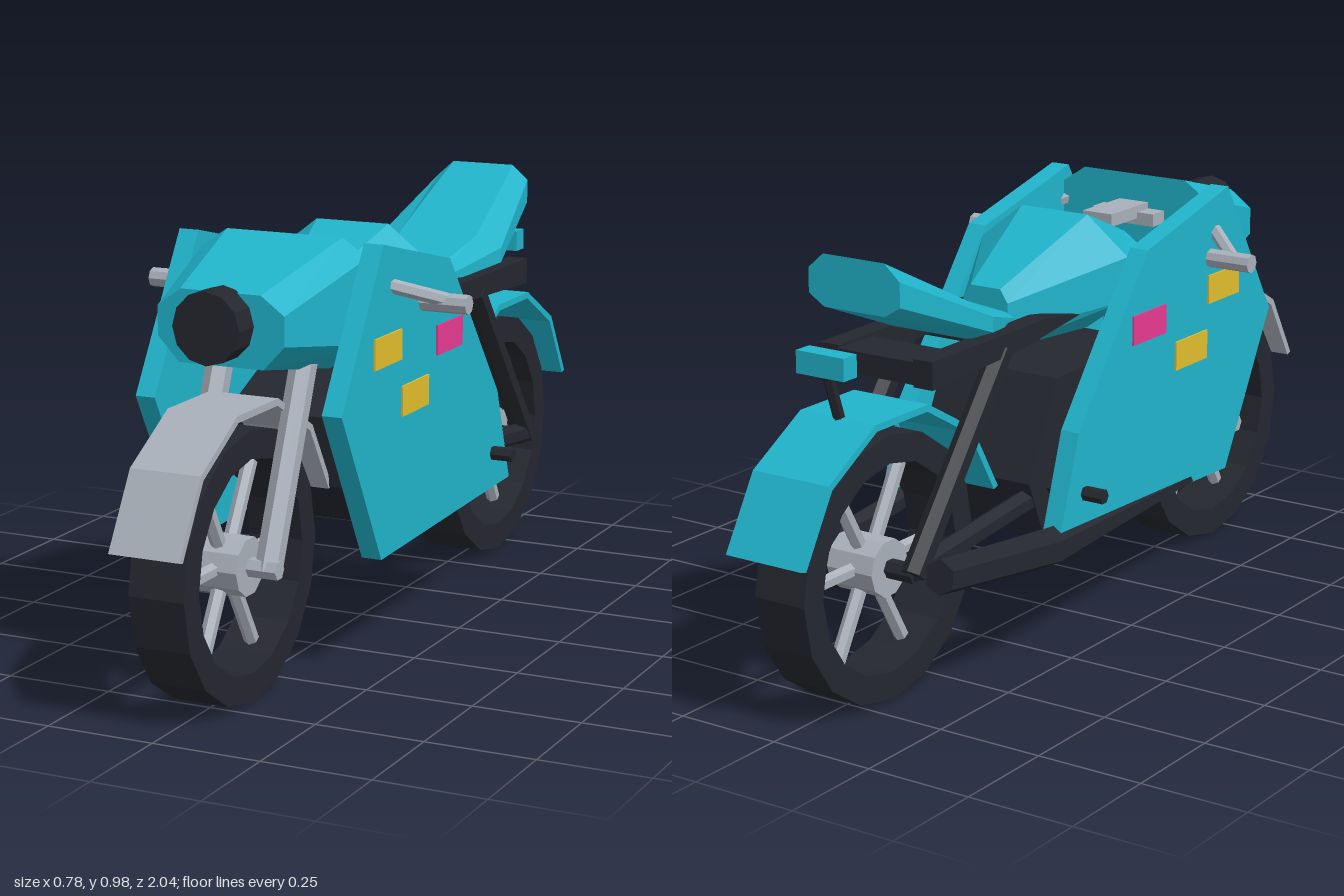
import * as THREE from 'three';

const mat = (color) => new THREE.MeshStandardMaterial({ color, flatShading: true });

export function createModel() {
  const bike = new THREE.Group();
  bike.name = 'motorcycle';
  const teal = mat(0x20b4cb), dark = mat(0x25272f), grey = mat(0xa9b0ba);
  const yellow = mat(0xe2bd2d), pink = mat(0xe83a92);
  const V = (x, y, z) => new THREE.Vector3(x, y, z);

  function add(name, geometry, material, parent = bike) {
    const mesh = new THREE.Mesh(geometry, material);
    mesh.name = name;
    parent.add(mesh);
    return mesh;
  }
  function box(name, w, h, d, x, y, z, material) {
    const mesh = add(name, new THREE.BoxGeometry(w, h, d), material);
    mesh.position.set(x, y, z);
    return mesh;
  }
  // Round bar between two points, optionally tapered
  function bar(name, p, q, r1, material, r2 = r1, sides = 6, parent = bike) {
    const dir = q.clone().sub(p);
    const mesh = add(name, new THREE.CylinderGeometry(r2, r1, dir.length(), sides), material, parent);
    mesh.position.copy(p).add(q).multiplyScalar(0.5);
    mesh.quaternion.setFromUnitVectors(V(0, 1, 0), dir.normalize());
    return mesh;
  }
  // Side outline in (z, y), extruded across x
  function slab(name, pts, width, x, material, hole) {
    const shape = new THREE.Shape(pts.map(([a, b]) => new THREE.Vector2(a, b)));
    if (hole) shape.holes.push(new THREE.Path(hole.map(([a, b]) => new THREE.Vector2(a, b))));
    const g = new THREE.ExtrudeGeometry(shape, { depth: width, bevelEnabled: false });
    g.rotateY(-Math.PI / 2);
    g.translate(width / 2, 0, 0);
    const mesh = add(name, g, material);
    mesh.position.x = x;
    return mesh;
  }
  // Symmetric loft: sections [z, half outline from top to bottom], ordered back to front
  function loft(name, sections, material) {
    const rings = sections.map(([z, half]) => [
      ...half.map(([x, y]) => V(x, y, z)),
      ...half.slice().reverse().map(([x, y]) => V(-x, y, z)),
    ]);
    const n = rings[0].length, tri = [];
    for (let i = 0; i < rings.length - 1; i++) {
      for (let j = 0; j < n; j++) {
        const k = (j + 1) % n;
        const a = rings[i][j], b = rings[i][k], c = rings[i + 1][k], d = rings[i + 1][j];
        tri.push(a, c, b, a, d, c);
      }
    }
    const back = rings[0], front = rings[rings.length - 1];
    for (let j = 1; j < n - 1; j++) {
      tri.push(back[0], back[j], back[j + 1], front[0], front[j + 1], front[j]);
    }
    const g = new THREE.BufferGeometry().setFromPoints(tri);
    g.computeVertexNormals();
    return add(name, g, material);
  }
  const arc = (cz, cy, r, from, to, n) => Array.from({ length: n + 1 }, (_, i) => {
    const t = THREE.MathUtils.degToRad(from + ((to - from) * i) / n);
    return [cz + r * Math.cos(t), cy + r * Math.sin(t)];
  });

  // Wheels and mudguards
  for (const [label, cz, fenderWidth, fenderMat] of [['front', 0.675, 0.165, grey], ['rear', -0.67, 0.2, teal]]) {
    const ring = (r) => arc(cz, 0.3, r, 0, 360, 16).slice(0, -1);
    slab(label + 'Tyre', ring(0.3), 0.13, 0, dark, ring(0.236));
    bar(label + 'Hub', V(-0.06, 0.3, cz), V(0.06, 0.3, cz), 0.065, grey, 0.065, 10);
    bar(label + 'Axle', V(-0.13, 0.3, cz), V(0.13, 0.3, cz), 0.022, label === 'front' ? grey : dark);
    for (let i = 0; i < 6; i++) {
      const t = (i * Math.PI) / 3;
      bar(label + 'Spoke', V(0, 0.3, cz), V(0, 0.3 + 0.245 * Math.sin(t), cz + 0.245 * Math.cos(t)), 0.017, grey);
    }
    const outline = [...arc(cz, 0.3, 0.362, 16, 164, 5), ...arc(cz, 0.3, 0.346, 164, 16, 5)];
    slab(label + 'Mudguard', outline, fenderWidth, 0, fenderMat);
  }

  // Nose fairing and headlight
  loft('noseFairing', [
    [0.39, [[0.14, 0.97], [0.2, 0.93], [0.2, 0.74], [0.11, 0.68]]],
    [0.685, [[0.095, 0.89], [0.15, 0.85], [0.15, 0.785], [0.1, 0.732]]],
  ], teal);
  bar('headlight', V(0, 0.823, 0.67), V(0, 0.823, 0.75), 0.079, dark, 0.079, 12);

  // Fuel tank
  loft('fuelTank', [
    [-0.225, [[0.04, 0.82], [0.06, 0.79], [0.06, 0.72], [0.04, 0.68]]],
    [0.05, [[0.09, 0.945], [0.2, 0.86], [0.2, 0.76], [0.09, 0.68]]],
    [0.27, [[0.05, 0.86], [0.11, 0.82], [0.11, 0.75], [0.05, 0.69]]],
    [0.32, [[0.03, 0.83], [0.05, 0.81], [0.05, 0.75], [0.03, 0.7]]],
  ], teal);

  // Seat with raised tail
  loft('seat', [
    [-0.7, [[0.08, 0.98], [0.12, 0.945], [0.12, 0.89], [0.08, 0.865]]],
    [-0.43, [[0.1, 0.845], [0.165, 0.82], [0.165, 0.785], [0.1, 0.76]]],
    [-0.21, [[0.05, 0.765], [0.07, 0.755], [0.07, 0.745], [0.05, 0.735]]],
  ], teal);

  // Engine block
  slab('engine', [[0.36, 0.56], [0.34, 0.4], [0.18, 0.28], [-0.1, 0.245], [-0.22, 0.26],
    [-0.28, 0.4], [-0.17, 0.62], [0.2, 0.63]], 0.31, 0, dark);

  // Subframe and tail light
  box('subframeCrossPiece', 0.3, 0.05, 0.12, 0, 0.73, -0.57, dark);
  box('subframeFrontCrossPiece', 0.26, 0.04, 0.1, 0, 0.73, -0.25, dark);
  bar('tailLightStem', V(0, 0.64, -0.755), V(0, 0.77, -0.8), 0.013, dark);
  box('tailLight', 0.125, 0.05, 0.045, 0, 0.775, -0.797, teal);
  bar('footPegBar', V(-0.3, 0.375, -0.195), V(0.3, 0.375, -0.195), 0.017, dark);

  // Steering head
  box('tripleClamp', 0.17, 0.03, 0.06, 0, 0.875, 0.37, grey);
  box('steeringStem', 0.08, 0.03, 0.17, 0, 0.89, 0.315, grey);

  // Paired parts
  const panel = [[0.41, 0.965], [0.06, 0.88], [-0.22, 0.52], [-0.295, 0.295], [0.42, 0.272], [0.615, 0.63]];
  for (const s of [1, -1]) {
    slab('sidePanel', panel, 0.047, s * 0.224, teal);
    box('yellowPatch', 0.006, 0.068, 0.138, s * 0.249, 0.734, 0.392, yellow);
    box('yellowPatch', 0.006, 0.068, 0.138, s * 0.249, 0.605, 0.25, yellow);
    box('pinkPatch', 0.006, 0.068, 0.138, s * 0.249, 0.706, 0.066, pink);

    bar('fork', V(s * 0.1, 0.29, 0.67), V(s * 0.1, 0.88, 0.43), 0.03, grey);
    bar('handlebarArm', V(s * 0.16, 0.9, 0.43), V(s * 0.34, 0.83, 0.28), 0.016, grey);
    bar('grip', V(s * 0.28, 0.824, 0.28), V(s * 0.39, 0.824, 0.28), 0.022, grey, 0.022, 8);

    slab('seatRail', [[-0.07, 0.745], [-0.2, 0.765], [-0.63, 0.762], [-0.63, 0.7], [-0.3, 0.715]],
      0.05, s * 0.125, dark);
    bar('rearStrut', V(s * 0.13, 0.725, -0.35), V(s * 0.13, 0.3, -0.68), 0.028, dark);
    bar('swingarm', V(s * 0.13, 0.36, -0.2), V(s * 0.13, 0.31, -0.68), 0.026, dark);
  }

  // Exhaust on one side
  bar('exhaustPipe', V(-0.235, 0.285, 0.28), V(-0.225, 0.275, -0.32), 0.014, dark, 0.046);
  bar('exhaustMuffler', V(-0.225, 0.275, -0.31), V(-0.225, 0.325, -0.715), 0.046, dark, 0.04);

  return bike;
}
